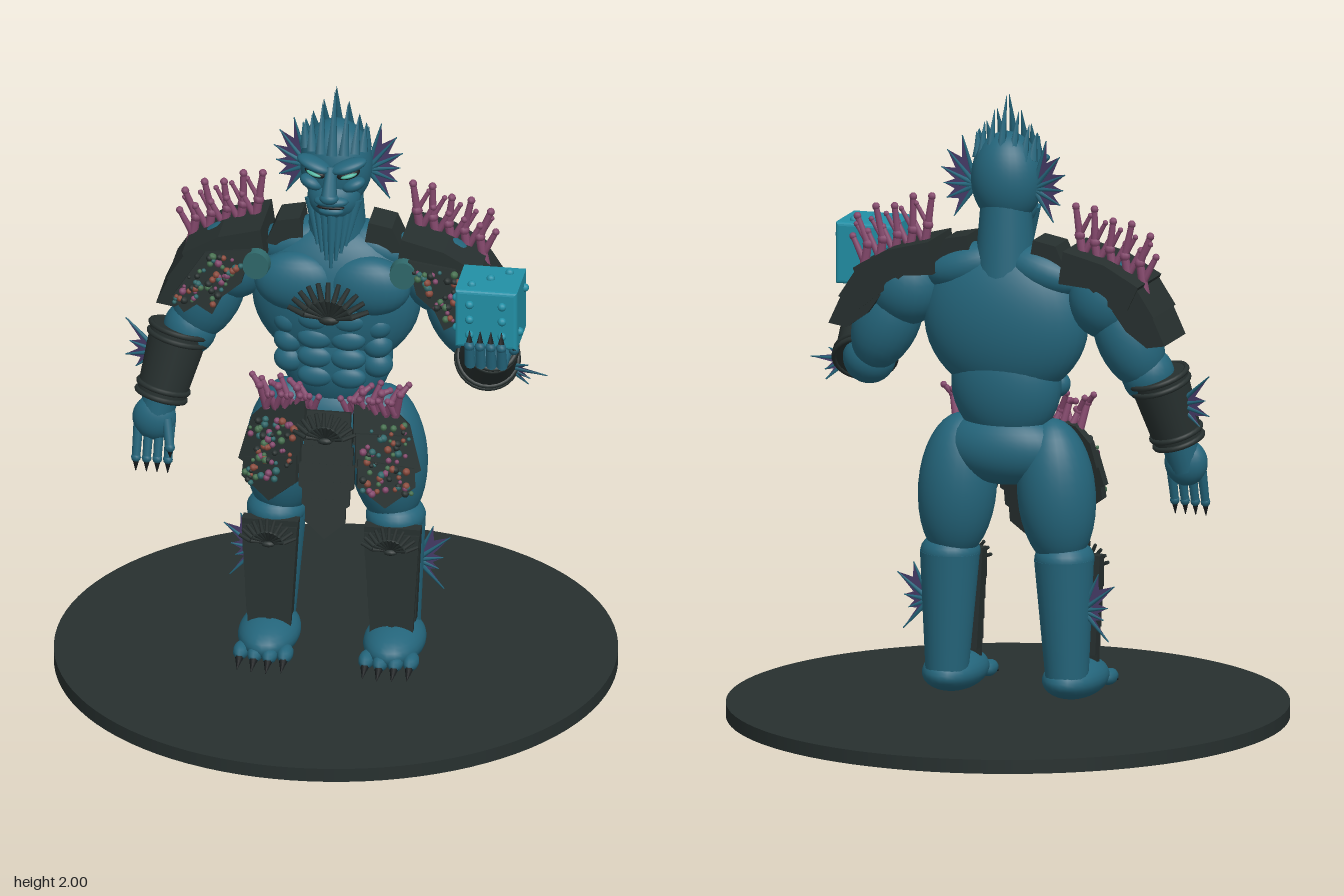
import * as THREE from 'three';

const M = {};
for (const [name, color] of Object.entries({
  skin: 0x24657b, armour: 0x27302f, claw: 0x181c1e, die: 0x2290a6, coral: 0x84486c,
  fin: 0x453a66, eye: 0x4fb5a0, disc: 0x2f686a, moss: 0x46704f, rust: 0x8a4a3c
})) M[name] = new THREE.MeshStandardMaterial({ color, name });
M.fin.side = THREE.DoubleSide;

const V = (p) => new THREE.Vector3(...p);
const UP = new THREE.Vector3(0, 1, 0);

export function createModel() {
  const root = new THREE.Group();
  root.name = 'seaWarrior';
  let target = root;

  const add = (name, geo, mat, pos = [0, 0, 0], rot = [0, 0, 0]) => {
    const m = new THREE.Mesh(geo, mat);
    m.name = name;
    m.position.set(...pos);
    m.rotation.set(...rot);
    target.add(m);
    return m;
  };
  const part = (name, fn) => {
    const old = target, g = new THREE.Group();
    g.name = name;
    old.add(g);
    target = g;
    fn(g);
    target = old;
    return g;
  };
  const ball = (name, mat, pos, r, rot, seg = 24) => {
    const m = add(name, new THREE.SphereGeometry(1, seg, Math.max(6, seg * 0.66 | 0)), mat, pos, rot);
    m.scale.set(...r);
    return m;
  };
  // Tapered rod from a to b
  const rod = (name, mat, a, b, ra, rb, seg = 16) => {
    const d = V(b).sub(V(a)), m = add(name, new THREE.CylinderGeometry(rb, ra, d.length(), seg), mat);
    m.position.copy(V(a)).addScaledVector(d, 0.5);
    m.quaternion.setFromUnitVectors(UP, d.normalize());
    return m;
  };
  // Flat polygon plate, thick along z, turned about a pivot
  const plate = (name, mat, pts, thick, pivot, rot, s = 1) => {
    const shape = new THREE.Shape(pts.map(([x, y]) => new THREE.Vector2(x * s - pivot[0], y - pivot[1])));
    const geo = new THREE.ExtrudeGeometry(shape, { depth: thick, bevelEnabled: false });
    return add(name, geo, mat, pivot, rot);
  };
  // Scallop shell: ribs spreading upward and bowing forward
  const shell = (name, pos, r, rot = [0, 0, 0]) => part(name, (g) => {
    g.position.set(...pos);
    g.rotation.set(...rot);
    for (let i = 0; i < 11; i++) {
      const a = (i - 5) * 0.25, x = Math.sin(a) * r, y = Math.cos(a) * r;
      rod('shellRib', M.armour, [0, 0, 0], [x * 0.6, y * 0.6, 0.025], 0.004, r * 0.075, 6);
      rod('shellRib', M.armour, [x * 0.6, y * 0.6, 0.025], [x, y, 0.012], r * 0.075, r * 0.06, 6);
    }
    ball('shellHinge', M.armour, [0, 0, 0.005], [r * 0.25, r * 0.12, 0.015], undefined, 10);
  });
  // Webbed fin: tips are [degrees, length]
  const fin = (name, pos, tips, s, rot = [0, 0, 0]) => part(name, (g) => {
    g.position.set(...pos);
    g.rotation.set(...rot);
    const at = ([deg, l]) => new THREE.Vector2(Math.cos(deg * Math.PI / 180) * l * s, Math.sin(deg * Math.PI / 180) * l);
    const pts = [new THREE.Vector2(0, 0)];
    tips.forEach((t, i) => {
      pts.push(at(t));
      const n = tips[i + 1];
      if (n) pts.push(at([(t[0] + n[0]) / 2, Math.min(t[1], n[1]) * 0.68]));
      const e = at(t);
      rod('finSpine', M.skin, [0, 0, 0], [e.x, e.y, 0], 0.01, 0.002, 6);
    });
    add('finWeb', new THREE.ShapeGeometry(new THREE.Shape(pts)), M.fin);
  });
  const twig = (a, b, r) => {
    rod('coralBranch', M.coral, a, b, r, r * 0.75, 8);
    ball('coralTip', M.coral, b, [r, r, r], undefined, 8);
  };
  let seed = 7;
  const rnd = () => (seed = (seed * 16807) % 2147483647) / 2147483647;
  const barnacles = (name, n, at) => part(name, () => {
    const mats = [M.moss, M.coral, M.rust, M.armour, M.disc];
    for (let i = 0; i < n; i++) {
      const r = 0.006 + rnd() * 0.007;
      ball('barnacle', mats[i % 5], at(rnd(), rnd()), [r, r, r], undefined, 8);
    }
  });
  const clawedDigit = (name, a, b, c, r) => {
    rod(name, M.skin, a, b, r, r * 0.85, 10);
    ball(name + 'Joint', M.skin, b, [r, r, r], undefined, 10);
    rod(name + 'Claw', M.claw, b, c, r * 0.8, 0.001, 8);
  };

  add('base', new THREE.CylinderGeometry(0.89, 0.89, 0.045, 96), M.armour, [0, 0.0225, 0]);

  part('torso', () => {
    ball('chest', M.skin, [0, 1.28, -0.015], [0.27, 0.25, 0.135], undefined, 36);
    ball('belly', M.skin, [0, 1.08, -0.015], [0.18, 0.2, 0.115], undefined, 32);
    ball('pelvis', M.skin, [0, 0.87, -0.02], [0.2, 0.12, 0.115], undefined, 32);
    rod('neck', M.skin, [0, 1.4, -0.025], [0, 1.66, -0.02], 0.1, 0.08, 24);
    for (const s of [1, -1]) {
      ball('pectoral', M.skin, [s * 0.115, 1.35, 0.07], [0.135, 0.1, 0.07]);
      ball('trapezius', M.skin, [s * 0.13, 1.45, -0.03], [0.14, 0.07, 0.08], [0, 0, -s * 0.3]);
      for (let i = 0; i < 4; i++)
        ball('abdominal', M.skin, [s * 0.052, 1.235 - i * 0.068, 0.095 - i * 0.004], [0.058, 0.038, 0.028]);
      for (let i = 0; i < 3; i++)
        ball('oblique', M.skin, [s * 0.14, 1.21 - i * 0.07, 0.06 - i * 0.005], [0.05, 0.045, 0.04]);
      plate('collarGuard', M.armour, [[0.09, 1.44], [0.11, 1.555], [0.185, 1.54], [0.22, 1.46]], 0.12, [0, 1.5, -0.08], [0, 0, 0], s);
    }
    shell('chestShell', [0, 1.255, 0.14], 0.135);
  });

  part('head', () => {
    ball('skull', M.skin, [0, 1.735, -0.01], [0.115, 0.15, 0.105], undefined, 32);
    ball('jaw', M.skin, [0, 1.64, 0.035], [0.085, 0.075, 0.075]);
    rod('noseBridge', M.skin, [0, 1.77, 0.1], [0, 1.685, 0.14], 0.016, 0.026, 10);
    ball('noseTip', M.skin, [0, 1.68, 0.14], [0.03, 0.02, 0.025]);
    ball('upperLip', M.skin, [0, 1.65, 0.095], [0.055, 0.02, 0.03]);
    ball('mouth', M.claw, [0, 1.634, 0.108], [0.045, 0.007, 0.012]);
    ball('lowerLip', M.skin, [0, 1.617, 0.098], [0.04, 0.016, 0.02]);
    for (const s of [1, -1]) {
      ball('brow', M.skin, [s * 0.055, 1.775, 0.092], [0.06, 0.02, 0.035], [0, s * 0.3, s * 0.28]);
      ball('eyeSocket', M.claw, [s * 0.053, 1.742, 0.082], [0.038, 0.016, 0.02], [0, s * 0.4, s * 0.2]);
      ball('eye', M.eye, [s * 0.054, 1.742, 0.088], [0.03, 0.009, 0.019], [0, s * 0.4, s * 0.2]);
      ball('cheekbone', M.skin, [s * 0.066, 1.7, 0.068], [0.04, 0.022, 0.032], [0, 0, s * 0.4]);
      fin('earFin', [s * 0.095, 1.71, -0.03], [[74, 0.165], [50, 0.145], [26, 0.125], [2, 0.105], [-25, 0.105], [-55, 0.125]], s, [0, s * 0.15, 0]);
    }
    // Beard of short tentacles
    for (let i = -3; i <= 3; i++) {
      const k = Math.abs(i);
      rod('beardTentacle', M.skin, [i * 0.024, 1.615 + k * 0.008, 0.075 - k * 0.008], [i * 0.015, 1.42 + k * 0.024, 0.105 - k * 0.006], 0.02, 0.005, 10);
    }
    // Crown of spines closing toward the top
    for (let i = 0; i < 16; i++) {
      const a = i / 16 * Math.PI * 2, x = Math.sin(a) * 0.105, z = Math.cos(a) * 0.085;
      rod('crownSpine', M.skin, [x * 0.92, 1.8, z * 0.92], [x, 2.0 - Math.abs(x) * 1.2, z * 0.15], 0.019, 0.001, 6);
    }
  });

  for (const s of [1, -1]) {
    part(s > 0 ? 'leftLeg' : 'rightLeg', () => {
      ball('thigh', M.skin, [s * 0.165, 0.73, -0.01], [0.125, 0.24, 0.122], [0, 0, s * 0.08], 28);
      ball('knee', M.skin, [s * 0.19, 0.52, -0.005], [0.095, 0.065, 0.1]);
      rod('shin', M.skin, [s * 0.2, 0.13, -0.01], [s * 0.19, 0.52, -0.01], 0.068, 0.095, 24);
      ball('foot', M.skin, [s * 0.2, 0.123, 0.075], [0.098, 0.065, 0.165]);
      for (let i = 0; i < 4; i++) {
        const x = s * (0.13 + i * 0.047), z = 0.235 - Math.abs(i - 1.3) * 0.012;
        ball('toe', M.skin, [x, 0.105, z - 0.02], [0.026, 0.026, 0.05], undefined, 12);
        rod('toeClaw', M.claw, [x, 0.1, z + 0.01], [x, 0.078, z + 0.068], 0.016, 0.001, 8);
      }
      // Shin guard of overlapping pointed plates
      for (let i = 0; i < 5; i++) {
        const y = 0.5 - i * 0.065, w = 0.088 - i * 0.004;
        const pts = [[0.195 - w, y], [0.195 + w, y], [0.195 + w * 0.95, y - 0.09], [0.195, y - 0.125], [0.195 - w * 0.95, y - 0.09]];
        if (i == 4) pts[3] = [0.195, y - 0.06];
        plate('shinPlate', M.armour, pts, 0.02, [s * 0.195, y, 0.09], [-0.1, 0, 0], s);
      }
      plate('shinGuard', M.armour, [[0.105, 0.52], [0.285, 0.52], [0.27, 0.2], [0.125, 0.19]], 0.04, [s * 0.195, 0.4, 0.06], [0, 0, 0], s);
      shell('kneeShell', [s * 0.195, 0.455, 0.13], 0.095, [0.1, 0, 0]);
      fin('calfFin', [s * 0.255, 0.36, -0.02], [[66, 0.13], [38, 0.135], [8, 0.085], [-22, 0.075], [-48, 0.13]], s);

      // Hip guard
      [
        [[0.07, 0.95], [0.2, 0.93], [0.25, 0.88], [0.27, 0.8], [0.18, 0.77], [0.07, 0.82]],
        [[0.08, 0.86], [0.26, 0.85], [0.29, 0.74], [0.19, 0.69], [0.08, 0.75]],
        [[0.09, 0.78], [0.27, 0.75], [0.275, 0.69], [0.18, 0.62], [0.09, 0.69]]
      ].forEach((p, i) => plate('hipPlate', M.armour, p, 0.025, [s * 0.17, 0.93, 0.085 + i * 0.012], [-0.17, s * 0.25, 0], s));
      barnacles('hipBarnacles', 70, (u, v) => {
        const x = 0.1 + u * 0.15 + v * 0.02;
        return [s * x, 0.9 - v * 0.22, 0.165 + v * 0.05 - u * 0.045];
      });
      // Belt coral
      for (let i = 0; i < 6; i++) {
        const x = 0.055 + i * 0.03, b = [s * (x + 0.02), 0.97 + (i % 2) * 0.03, 0.12];
        twig([s * x, 0.915, 0.1], b, 0.014);
        twig(b, [s * (x + 0.045), 1.005 + (i % 3) * 0.012, 0.105], 0.011);
        twig([s * x, 0.925, 0.11], [s * (x - 0.02), 0.975, 0.125], 0.011);
      }
    });

    part(s > 0 ? 'leftShoulder' : 'rightShoulder', () => {
      ball('deltoid', M.skin, [s * 0.335, 1.37, -0.015], [0.125, 0.13, 0.11]);
      [
        [[0.21, 1.43], [0.225, 1.535], [0.36, 1.5], [0.475, 1.435], [0.44, 1.36], [0.33, 1.42]],
        [[0.31, 1.42], [0.46, 1.44], [0.525, 1.34], [0.46, 1.3], [0.37, 1.37]],
        [[0.38, 1.36], [0.505, 1.37], [0.56, 1.25], [0.5, 1.24], [0.43, 1.29]]
      ].forEach((p, i) => plate('shoulderPlate', M.armour, p, 0.23 - i * 0.012, [0, 1.4, -0.125 + i * 0.006], [0, 0, 0], s));
      plate('shoulderFringe', M.armour, [[0.25, 1.47], [0.4, 1.45], [0.5, 1.3], [0.46, 1.25], [0.42, 1.28], [0.37, 1.25], [0.34, 1.31], [0.28, 1.36]], 0.02, [s * 0.35, 1.47, 0.108], [-0.15, 0, 0], s);
      barnacles('shoulderBarnacles', 65, (u, v) => [s * (0.27 + v * 0.1 + u * 0.13), 1.44 - v * 0.16 + u * 0.01, 0.135 + v * 0.025]);
      const d = add('shoulderDisc', new THREE.CylinderGeometry(0.046, 0.05, 0.03, 20), M.disc, [s * 0.235, 1.425, 0.125], [Math.PI / 2, 0, 0]);
      d.scale.x = 0.9;
      // Shoulder coral
      for (let i = 0; i < 5; i++) {
        const x = 0.265 + i * 0.05, y = 1.5 - i * 0.018, t = 1.665 - i * 0.02;
        const mid = [s * (x - 0.012), (y + t) / 2 - 0.01, -0.04];
        twig([s * (x + 0.01), y - 0.06, -0.04], mid, 0.018);
        twig(mid, [s * (x - 0.025 + i * 0.012), t + (i % 2) * 0.015, -0.04], 0.013);
        twig([s * x, y + 0.01, -0.04], [s * (x + 0.04), y + 0.09, -0.035], 0.012);
        twig(mid, [s * (x + 0.025), t - 0.025, -0.045], 0.009);
      }
    });
  }

  // Loin guard and belt shell
  part('loinGuard', () => {
    for (let i = 0; i < 6; i++) {
      const y = 0.93 - i * 0.055, w = i < 4 ? 0.07 + i * 0.006 : 0.088 - (i - 3) * 0.012;
      plate('loinPlate', M.armour, [[-w, y], [w, y], [w, y - 0.075], [0, y - 0.13], [-w, y - 0.075]], 0.018,
        [0, y, 0.125 + i * 0.013], [-0.22, 0, 0]);
    }
    shell('beltShell', [0, 0.87, 0.215], 0.105, [0.08, 0, 0]);
  });

  const bracer = (a, b, ra, rb) => {
    rod('bracer', M.armour, a, b, ra, rb, 24);
    for (const t of [0.02, 0.14, 0.86, 0.98]) {
      const p = V(a).lerp(V(b), t), d = V(b).sub(V(a)).normalize(), r = ra + (rb - ra) * t;
      const m = add('bracerRim', new THREE.TorusGeometry(r, 0.009, 8, 28), M.armour, p.toArray());
      m.quaternion.setFromUnitVectors(new THREE.Vector3(0, 0, 1), d);
    }
  };

  // Lowered arm
  part('rightArm', () => {
    ball('upperArm', M.skin, [-0.405, 1.25, -0.01], [0.105, 0.17, 0.1], [0, 0, -0.4]);
    ball('elbow', M.skin, [-0.465, 1.13, 0.005], [0.085, 0.09, 0.08]);
    bracer([-0.495, 1.13, 0.01], [-0.55, 0.91, 0.06], 0.095, 0.078);
    rod('wrist', M.skin, [-0.545, 0.93, 0.055], [-0.57, 0.82, 0.075], 0.06, 0.05);
    ball('palm', M.skin, [-0.568, 0.84, 0.075], [0.07, 0.075, 0.05]);
    for (let i = 0; i < 4; i++) {
      const x = -0.618 + i * 0.034;
      clawedDigit('finger', [x, 0.82, 0.08], [x - 0.004, 0.71, 0.105], [x - 0.004, 0.665, 0.11], 0.016);
    }
    clawedDigit('thumb', [-0.525, 0.85, 0.1], [-0.51, 0.765, 0.13], [-0.508, 0.73, 0.135], 0.017);
    fin('bracerFin', [-0.565, 1.04, 0.01], [[42, 0.15], [12, 0.1], [-14, 0.115], [-40, 0.1]], -1, [0, -0.2, 0]);
  });

  // Raised arm holding the die
  part('leftArm', () => {
    ball('upperArm', M.skin, [0.4, 1.25, -0.005], [0.105, 0.17, 0.1], [0, 0, 0.4]);
    ball('elbow', M.skin, [0.47, 1.12, 0.025], [0.085, 0.085, 0.08]);
    bracer([0.49, 1.11, 0.04], [0.53, 1.225, 0.18], 0.098, 0.075);
    rod('wrist', M.skin, [0.53, 1.21, 0.16], [0.54, 1.255, 0.25], 0.055, 0.045);
    ball('palm', M.skin, [0.54, 1.265, 0.275], [0.075, 0.04, 0.095]);
    for (let i = 0; i < 4; i++) {
      const x = 0.49 + i * 0.034;
      rod('fingerBase', M.skin, [x, 1.26, 0.32], [x, 1.255, 0.385], 0.018, 0.017, 10);
      clawedDigit('finger', [x, 1.255, 0.385], [x, 1.325, 0.4], [x, 1.375, 0.393], 0.017);
    }
    clawedDigit('thumb', [0.6, 1.26, 0.27], [0.62, 1.285, 0.32], [0.625, 1.32, 0.35], 0.018);
    fin('bracerFin', [0.55, 1.1, 0.06], [[25, 0.09], [4, 0.145], [-22, 0.09], [-42, 0.1]], 1, [0.5, -0.25, 0]);
  });

  part('die', (g) => {
    g.position.set(0.54, 1.41, 0.285);
    const q = 0.088, shape = new THREE.Shape([[-q, -q], [q, -q], [q, q], [-q, q]].map((p) => new THREE.Vector2(...p)));
    const geo = new THREE.ExtrudeGeometry(shape, { depth: 2 * q, bevelSize: 0.011, bevelThickness: 0.011, bevelSegments: 3 });
    add('dieBody', geo.translate(0, 0, -q), M.die);
    const k = 0.052, pair = [[-k, -k], [k, k]], four = [...pair, [-k, k], [k, -k]];
    const face = (pts, f) => pts.forEach(([u, v]) => ball('pip', M.die, f(u, v), [0.014, 0.014, 0.014], undefined, 12));
    face([...four, [-k, 0], [k, 0]], (u, v) => [u, v, 0.1]);
    face([[0, 0]], (u, v) => [u, v, -0.1]);
    face(pair, (u, v) => [0.1, v, -u]);
    face([...four, [0, 0]], (u, v) => [-0.1, u, v]);
    face([...pair, [0, 0]], (u, v) => [u, 0.1, -v]);
    face(four, (u, v) => [u, -0.1, v]);
  });

  return root;
}
